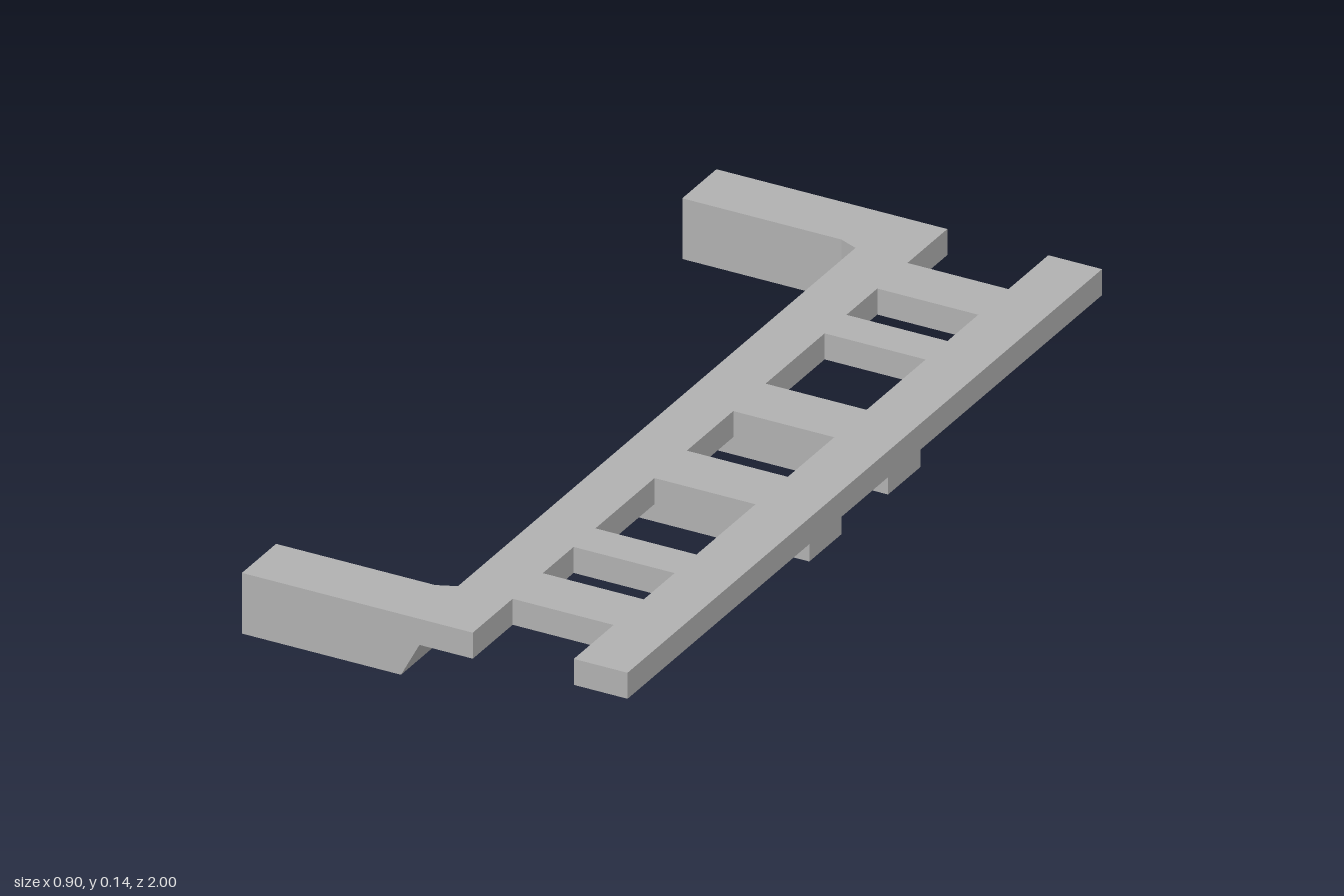
import * as THREE from 'three';

const TOP = 0.14, DECK = 0.08;          // top of the plate, underside of the plate
const LEFT = -0.45, EDGE = -0.037, RIGHT = 0.447;
const IN_L = 0.087, IN_R = 0.322;       // inner edges of the two rails
const ARM_Z = 0.856, FLARE_X = -0.08, FLARE_Z = 0.838, NOTCH = 0.832;

// Extrude a plan outline given as [x, z] points, hanging down from y = top
function slab(points, depth, top, holes = []) {
  const toVectors = (pts) => pts.map(([x, z]) => new THREE.Vector2(x, z));
  const shape = new THREE.Shape(toVectors(points));
  for (const hole of holes) shape.holes.push(new THREE.Path(toVectors(hole)));
  const geometry = new THREE.ExtrudeGeometry(shape, { depth, bevelEnabled: false });
  return geometry.rotateX(Math.PI / 2).translate(0, top, 0);
}

export function createModel() {
  const group = new THREE.Group();
  group.name = 'ladderBracket';
  const grey = new THREE.MeshStandardMaterial({ color: 0xb0b0b0 });
  grey.name = 'grey';
  const add = (name, geometry) => {
    const mesh = new THREE.Mesh(geometry, grey);
    mesh.name = name;
    group.add(mesh);
  };

  // Flat plate: one half of the outline, mirrored in z
  const half = [
    [EDGE, FLARE_Z], [FLARE_X, ARM_Z], [LEFT, ARM_Z], [LEFT, 1],
    [IN_L, 1], [IN_L, NOTCH], [IN_R, NOTCH], [IN_R, 1], [RIGHT, 1],
  ];
  const outline = [...half, ...half.map(([x, z]) => [x, -z]).reverse()];
  const windows = [
    [-0.705, -0.575], [-0.483, -0.234], [-0.098, 0.098], [0.234, 0.483], [0.575, 0.705],
  ].map(([a, b]) => [[IN_L, a], [IN_R, a], [IN_R, b], [IN_L, b]]);
  add('ladderPlate', slab(outline, TOP - DECK, TOP, windows));

  for (const side of [1, -1]) {
    const label = side > 0 ? 'front' : 'back';

    // Deep arm block, its bottom edge pulled in to make the sloping end
    const arm = slab([
      [LEFT, ARM_Z], [FLARE_X, ARM_Z], [EDGE, FLARE_Z], [EDGE, 1], [LEFT, 1],
    ].map(([x, z]) => [x, z * side]), DECK, DECK);
    const p = arm.attributes.position;
    for (let i = 0; i < p.count; i++) {
      if (p.getY(i) < 0.01 && p.getX(i) > FLARE_X + 0.01) {
        p.setX(i, FLARE_X);
        if (Math.abs(p.getZ(i)) < ARM_Z) p.setZ(i, ARM_Z * side);
      }
    }
    arm.computeVertexNormals();
    add(label + 'Arm', arm);

    // Cross rib under the plate
    const rib = new THREE.BoxGeometry(RIGHT - EDGE, 0.04, 0.136);
    rib.translate((RIGHT + EDGE) / 2, 0.06, 0.166 * side);
    add(label + 'Rib', rib);
  }
  return group;
}
